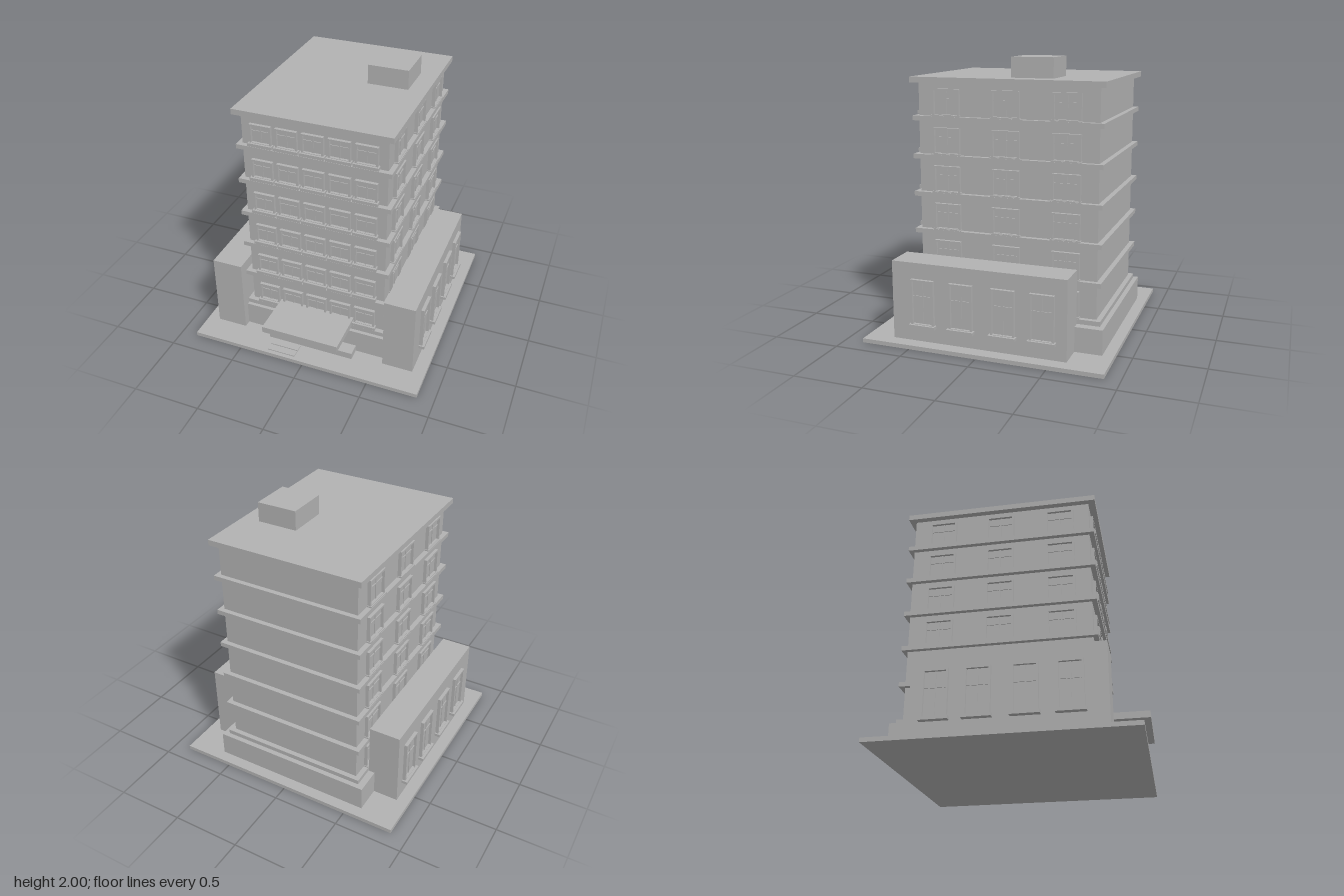
import * as THREE from 'three';

const concrete = new THREE.MeshStandardMaterial({ color: 0xb2b2b2 });
concrete.name = 'concrete grey';

// Box given by its limits on each axis
function box(parent, name, x0, x1, y0, y1, z0, z1) {
  const mesh = new THREE.Mesh(new THREE.BoxGeometry(x1 - x0, y1 - y0, z1 - z0), concrete);
  mesh.position.set((x0 + x1) / 2, (y0 + y1) / 2, (z0 + z1) / 2);
  mesh.name = name;
  parent.add(mesh);
  return mesh;
}

// Rectangular frame with an opening, standing on y = 0 and facing +z
function frameGeometry(w, h, border, depth) {
  const a = w / 2, b = a - border;
  const shape = new THREE.Shape([[-a, 0], [a, 0], [a, h], [-a, h]].map(p => new THREE.Vector2(...p)));
  shape.holes.push(new THREE.Path(
    [[-b, border], [-b, h - border], [b, h - border], [b, border]].map(p => new THREE.Vector2(...p))));
  return new THREE.ExtrudeGeometry(shape, { depth, bevelEnabled: false });
}

// Window with frame, glazing bars and sill, facing +z
function makeWindow(name, w, h, sillW, sillDepth) {
  const g = new THREE.Group();
  g.name = name;
  const frame = new THREE.Mesh(frameGeometry(w, h, 0.013, 0.024), concrete);
  frame.name = 'windowFrame';
  g.add(frame);
  box(g, 'windowPane', -w / 2 + 0.01, w / 2 - 0.01, 0.01, h - 0.01, 0, 0.004);
  box(g, 'verticalBar', -0.004, 0.004, 0.012, h - 0.012, 0.003, 0.01);
  box(g, 'horizontalBar', -w / 2 + 0.012, w / 2 - 0.012, h * 0.62, h * 0.62 + 0.008, 0.003, 0.01);
  box(g, 'windowSill', -sillW / 2, sillW / 2, -0.012, 0.01, 0, sillDepth);
  return g;
}

export function createModel() {
  const model = new THREE.Group();
  model.name = 'officeBuilding';
  box(model, 'groundSlab', -0.875, 0.875, 0, 0.03, -0.89, 0.86);

  const building = new THREE.Group();
  building.name = 'building';
  building.position.x = -0.003;
  model.add(building);

  // Podium, tower and roof
  box(building, 'podium', -0.6, 0.6, 0.03, 0.21, -0.81, 0.605);
  box(building, 'tower', -0.52, 0.52, 0.21, 1.82, -0.745, 0.55);
  box(building, 'roofSlab', -0.565, 0.565, 1.82, 1.86, -0.79, 0.6);
  box(building, 'roofHouse', 0.138, 0.433, 1.86, 2, -0.4, -0.1);

  // Storeys: ledge, five front windows, three on each side
  for (let i = 0; i < 6; i++) {
    const y = 0.216 + i * 0.2685;
    box(building, 'floorLedge', -0.555, 0.555, y, y + 0.033, -0.78, 0.585);
    for (let k = -2; k <= 2; k++) {
      const win = makeWindow('frontWindow', 0.157, 0.147, 0.178, 0.04);
      win.position.set(k * 0.188, y + 0.05, 0.55);
      building.add(win);
    }
    for (const side of [-1, 1]) {
      for (const z of [0.34, -0.095, -0.525]) {
        const win = makeWindow('sideWindow', 0.2, 0.19, 0.212, 0.033);
        win.position.set(side * 0.52, y + 0.032, z);
        win.rotation.y = side * Math.PI / 2;
        building.add(win);
      }
    }
  }

  // Side wings with tall windows
  for (const side of [-1, 1]) {
    const a = side * 0.555, b = side * 0.783;
    box(building, 'sideWing', Math.min(a, b), Math.max(a, b), 0.03, 0.6, -0.615, 0.66);
    for (const z of [0.425, 0.138, -0.167, -0.445]) {
      const win = makeWindow('wingWindow', 0.172, 0.335, 0.195, 0.042);
      win.position.set(side * 0.783, 0.15, z);
      win.rotation.y = side * Math.PI / 2;
      building.add(win);
    }
  }

  // Entrance: platform, door blocks, canopy and low steps
  box(building, 'entrancePlatform', -0.33, 0.33, 0.03, 0.08, 0.6, 0.7);
  box(building, 'leftDoorBlock', 0.02, 0.165, 0.08, 0.25, 0.6, 0.67);
  box(building, 'rightDoorBlock', -0.165, -0.02, 0.08, 0.25, 0.6, 0.67);
  box(building, 'canopy', -0.29, 0.29, 0.248, 0.295, 0.55, 0.885);
  box(building, 'lowerStep', -0.285, -0.07, 0.03, 0.037, 0.775, 0.83);
  box(building, 'upperStep', -0.285, -0.07, 0.03, 0.037, 0.712, 0.768);

  return model;
}
